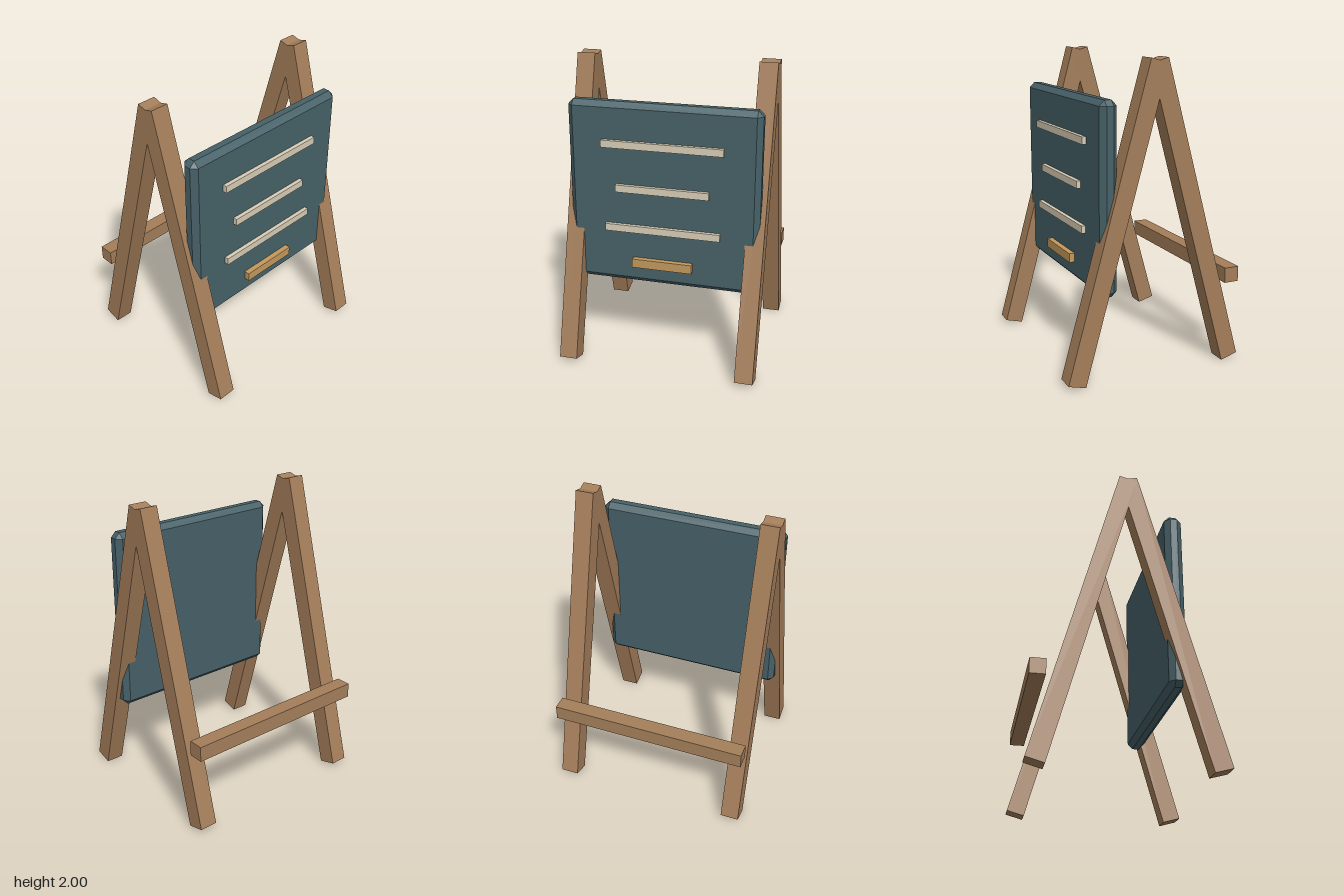
import * as THREE from 'three';
import { ConvexGeometry } from 'three/addons/geometries/ConvexGeometry.js';

export function createModel() {
  const group = new THREE.Group();
  const material = (color) => new THREE.MeshStandardMaterial({ color, flatShading: true });
  const wood = material(0xa47e5a);
  const slate = material(0x466168);
  const cream = material(0xd8cdb6);
  const amber = material(0xc4995c);

  function add(name, geometry, mat, x, y, z) {
    const mesh = new THREE.Mesh(geometry, mat);
    mesh.name = name;
    mesh.position.set(x, y, z);
    group.add(mesh);
    return mesh;
  }

  // Box with every edge cut by one flat chamfer
  function chamferedBox(w, h, d, c) {
    const points = [];
    for (const sx of [-0.5, 0.5]) for (const sy of [-0.5, 0.5]) for (const sz of [-0.5, 0.5]) {
      for (let face = 0; face < 3; face++) {
        const inset = [c, c, c];
        inset[face] = 0;
        points.push(new THREE.Vector3(
          sx * (w - 2 * inset[0]), sy * (h - 2 * inset[1]), sz * (d - 2 * inset[2])));
      }
    }
    return new ConvexGeometry(points);
  }

  // Two A-frames: front and back legs crossing at the top
  const thickness = 0.12, tilt = 0.271;
  const legLength = (2 - thickness * Math.sin(tilt)) / Math.cos(tilt);
  const legGeometry = new THREE.BoxGeometry(thickness, legLength, thickness);
  for (const side of [-1, 1]) {
    for (const end of [-1, 1]) {
      const name = (side > 0 ? 'left' : 'right') + (end > 0 ? 'FrontLeg' : 'BackLeg');
      const leg = add(name, legGeometry, wood,
        side * 0.6, 1, end * legLength / 2 * Math.sin(tilt));
      leg.rotation.x = -end * tilt;
    }
  }

  // Bar joining the back legs
  add('backCrossbar', new THREE.BoxGeometry(1.31, 0.1, 0.1), wood, 0, 0.585, -0.55);

  // Upright board
  add('board', chamferedBox(1.255, 1.22, 0.115, 0.035), slate, 0, 1.15, 0.308);

  // Raised strips on the board: half width and height above the ground
  [[0.398, 1.495], [0.308, 1.203], [0.382, 0.93]].forEach(([half, y], i) =>
    add('strip' + (i + 1), new THREE.BoxGeometry(half * 2, 0.048, 0.04), cream, 0, y, 0.372));
  add('lowerStrip', new THREE.BoxGeometry(0.4, 0.06, 0.05), amber, 0, 0.694, 0.377);

  return group;
}
